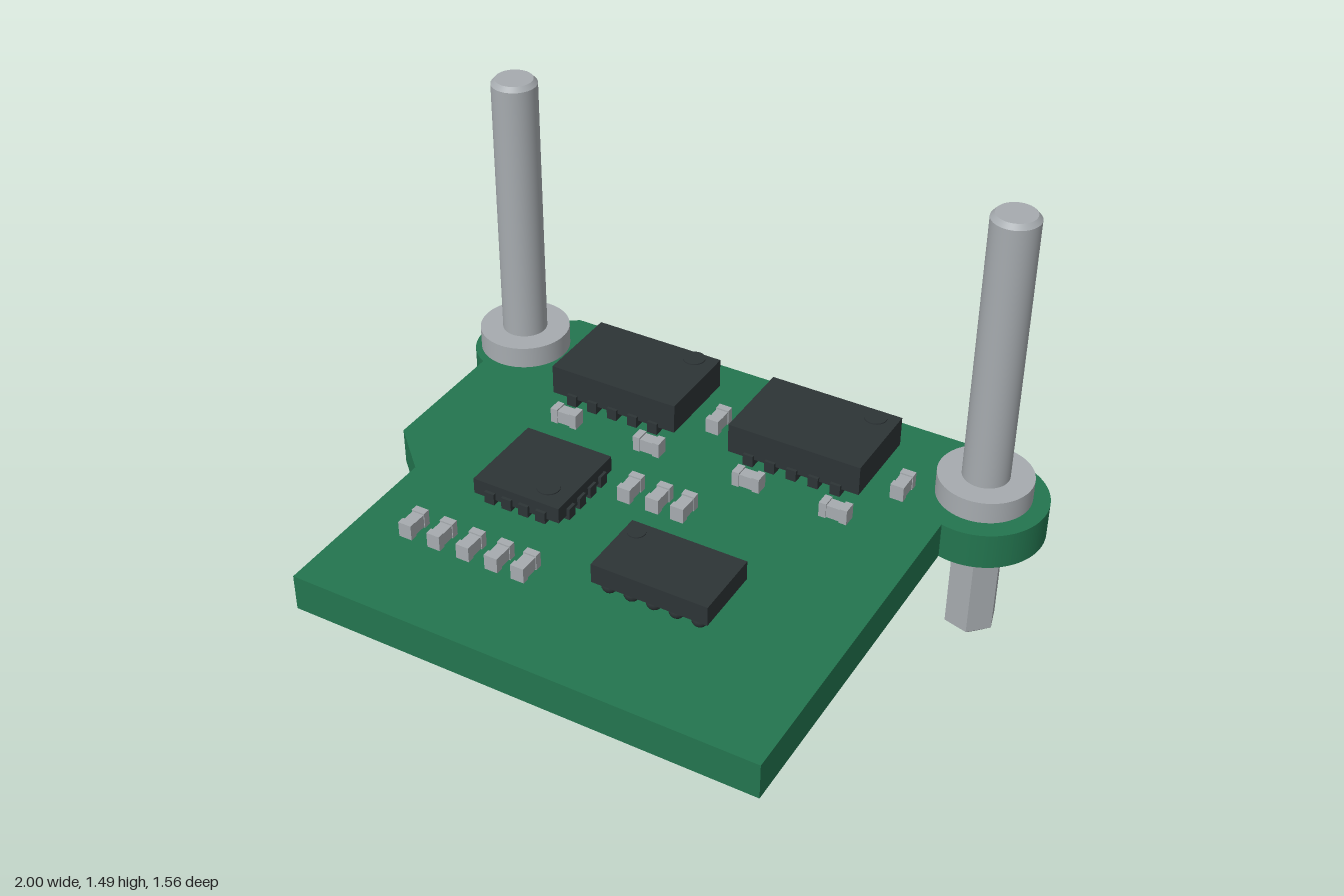
import * as THREE from 'three';

const material = (name, color) => {
  const m = new THREE.MeshStandardMaterial({ color });
  m.name = name;
  return m;
};

export function createModel() {
  const green = material('boardGreen', 0x23754f);
  const metal = material('metalGrey', 0xa6abaf);
  const dark = material('chipBlack', 0x2d3436);
  const red = material('lampRed', 0xcf3a5e);
  const model = new THREE.Group();
  model.name = 'circuitBoard';

  const add = (name, geometry, mat, x = 0, y = 0, z = 0, parent = model) => {
    const mesh = new THREE.Mesh(geometry, mat);
    mesh.name = name;
    mesh.position.set(x, y, z);
    parent.add(mesh);
    return mesh;
  };
  // Box given by its centre in x and z and its lower and upper heights
  const box = (name, mat, x, z, w, d, y0, y1, parent) =>
    add(name, new THREE.BoxGeometry(w, y1 - y0, d), mat, x, (y0 + y1) / 2, z, parent);
  // Upright cylinder or cone section between two heights
  const rod = (name, mat, x, z, rTop, rBottom, y0, y1, sides = 48, turn = 0, parent) => {
    const geometry = new THREE.CylinderGeometry(rTop, rBottom, y1 - y0, sides);
    if (sides > 12) return add(name, geometry, mat, x, (y0 + y1) / 2, z, parent);
    const flat = geometry.toNonIndexed();
    flat.computeVertexNormals();
    flat.rotateY(turn);
    return add(name, flat, mat, x, (y0 + y1) / 2, z, parent);
  };
  const group = (name) => {
    const g = new THREE.Group();
    g.name = name;
    model.add(g);
    return g;
  };

  // Board with a round ear at each back corner
  const outline = new THREE.Shape();
  outline.moveTo(-0.76, -0.78);
  outline.lineTo(0.752, -0.78);
  outline.lineTo(0.752, 0.365);
  outline.absarc(0.8, 0.565, 0.203, Math.atan2(-0.2, -0.048), 1.6, false);
  outline.lineTo(0.74, 0.78);
  outline.lineTo(-0.76, 0.78);
  outline.lineTo(-0.83, 0.73);
  outline.absarc(-0.835, 0.56, 0.167, 1.6, Math.PI * 2 + Math.atan2(-0.15, -0.07), false);
  outline.lineTo(-0.905, -0.04);
  outline.lineTo(-0.76, -0.18);
  outline.closePath();
  const slab = new THREE.ExtrudeGeometry(outline, { depth: 0.12, bevelEnabled: false, curveSegments: 40 });
  slab.rotateX(-Math.PI / 2);
  add('board', slab, green, 0, 0.395, 0);

  // Mounting posts: round shaft and collar above, pointed hexagonal foot below
  for (const x of [-0.835, 0.805]) {
    const post = group(x < 0 ? 'rightPost' : 'leftPost');
    rod('shaft', metal, x, -0.56, 0.073, 0.073, 0.4, 1.475, 48, 0, post);
    rod('shaftTip', metal, x, -0.56, 0.06, 0.073, 1.475, 1.49, 48, 0, post);
    rod('collar', metal, x, -0.56, 0.147, 0.147, 0.525, 0.597, 64, 0, post);
    rod('foot', metal, x, -0.56, 0.084, 0.084, 0.04, 0.4, 6, Math.PI / 12, post);
    rod('footPoint', metal, x, -0.56, 0.084, 0.038, 0, 0.04, 6, Math.PI / 12, post);
  }

  // Chip body with a round mark, legs along front and back, optionally left and right
  const chip = (name, x, z, w, d, y0, y1, dotX, dotZ, dotR, legs, fourSided) => {
    const g = group(name);
    box('chipBody', dark, x, z, w, d, y0, y1, g);
    rod('chipMark', dark, dotX, dotZ, dotR, dotR, y1, y1 + 0.004, 32, 0, g);
    for (let i = 0; i < legs; i++) {
      const o = (i - (legs - 1) / 2) * (fourSided ? 0.06 : 0.074);
      for (const s of [-1, 1]) {
        box('chipLeg', dark, x + o, z + s * (d / 2 - 0.01), 0.034, 0.04, 0.517, 0.556, g);
        if (fourSided) box('chipLeg', dark, x + s * (w / 2 - 0.01), z + o, 0.04, 0.034, 0.517, 0.556, g);
      }
    }
  };
  chip('backRightChip', -0.367, -0.492, 0.445, 0.297, 0.54, 0.64, -0.22, -0.605, 0.036, 5, false);
  chip('backLeftChip', 0.268, -0.492, 0.445, 0.297, 0.54, 0.64, 0.42, -0.6, 0.036, 5, false);
  chip('squareChip', -0.37, 0.06, 0.3, 0.3, 0.53, 0.583, -0.3, 0.137, 0.036, 4, true);
  chip('frontChip', 0.208, 0.305, 0.375, 0.23, 0.56, 0.625, 0.06, 0.233, 0.028, 0, false);

  // Solder balls under the front chip
  for (let i = 0; i < 5; i++) {
    for (let j = 0; j < 3; j++) {
      add('solderBall', new THREE.SphereGeometry(0.025, 16, 12), dark, 0.062 + i * 0.073, 0.543, 0.23 + j * 0.078);
    }
  }

  // Small surface parts: two end caps joined by a slightly slimmer middle
  const smallPart = (x, z, alongX) => {
    const g = group('smallPart');
    box('partMiddle', metal, 0, 0, 0.039, 0.06, 0.522, 0.565, g);
    for (const s of [-1, 1]) box('partCap', metal, 0, s * 0.034, 0.044, 0.024, 0.519, 0.57, g);
    g.position.set(x, 0, z);
    if (alongX) g.rotation.y = Math.PI / 2;
  };
  for (const [x, z] of [[-0.48, -0.25], [-0.18, -0.25], [0.17, -0.245], [0.465, -0.24]]) smallPart(x, z, true);
  for (const [x, z] of [[-0.055, -0.47], [0.587, -0.45], [-0.115, -0.03], [-0.017, -0.03], [0.068, -0.03]]) smallPart(x, z, false);
  for (const x of [-0.58, -0.48, -0.378, -0.28, -0.19]) smallPart(x, 0.435, false);

  // Red lamps with a dome pointing down
  for (const x of [-0.17, 0.145]) {
    const lamp = group('lamp');
    box('lampBody', red, x, -0.367, 0.25, 0.196, 0.278, 0.39, lamp);
    add('lampDome', new THREE.SphereGeometry(0.052, 32, 20), red, x, 0.278, -0.367, lamp);
  }

  // Blocks on the underside: x, z, width, depth, lower height
  const blocks = [
    [-0.2, -0.597, 0.13, 0.09, 0.295], [0.435, -0.597, 0.13, 0.09, 0.295],
    [-0.22, 0.44, 0.044, 0.085, 0.345], [-0.097, 0.475, 0.07, 0.14, 0.295],
    [0.18, 0.37, 0.21, 0.14, 0.238], [0.192, 0.59, 0.235, 0.11, 0.243],
  ];
  for (const [x, z, w, d, y0] of blocks) box('undersideBlock', metal, x, z, w, d, y0, 0.39);

  // Large capacitor: two tapered halves meeting at a wide seam
  const capacitor = group('capacitor');
  const half = (y0, y1, bottomScale, topScale) => {
    const geometry = new THREE.BoxGeometry(0.185, y1 - y0, 0.3).toNonIndexed();
    const p = geometry.attributes.position;
    for (let i = 0; i < p.count; i++) {
      const s = p.getY(i) > 0 ? topScale : bottomScale;
      p.setXYZ(i, p.getX(i) * s, p.getY(i), p.getZ(i) * s);
    }
    geometry.computeVertexNormals();
    add('capacitorBody', geometry, metal, 0.505, (y0 + y1) / 2, 0.465, capacitor);
  };
  half(0.225, 0.31, 0.84, 1);
  half(0.31, 0.39, 1, 0.86);

  // Bent metal strips at both ends of the capacitor
  const strip = new THREE.Shape();
  [[0.66, 0.39], [0.575, 0.39], [0.575, 0.375], [0.617, 0.37], [0.617, 0.3], [0.6, 0.285],
    [0.6, 0.268], [0.637, 0.29], [0.637, 0.365], [0.66, 0.37]]
    .forEach(([z, y], i) => (i ? strip.lineTo(z, y) : strip.moveTo(z, y)));
  const stripGeometry = new THREE.ExtrudeGeometry(strip, { depth: 0.05, bevelEnabled: false });
  stripGeometry.rotateY(-Math.PI / 2);
  add('frontStrip', stripGeometry, metal, 0.53, 0, 0, capacitor);
  box('backStrip', metal, 0.505, 0.323, 0.12, 0.066, 0.262, 0.39, capacitor);

  return model;
}
